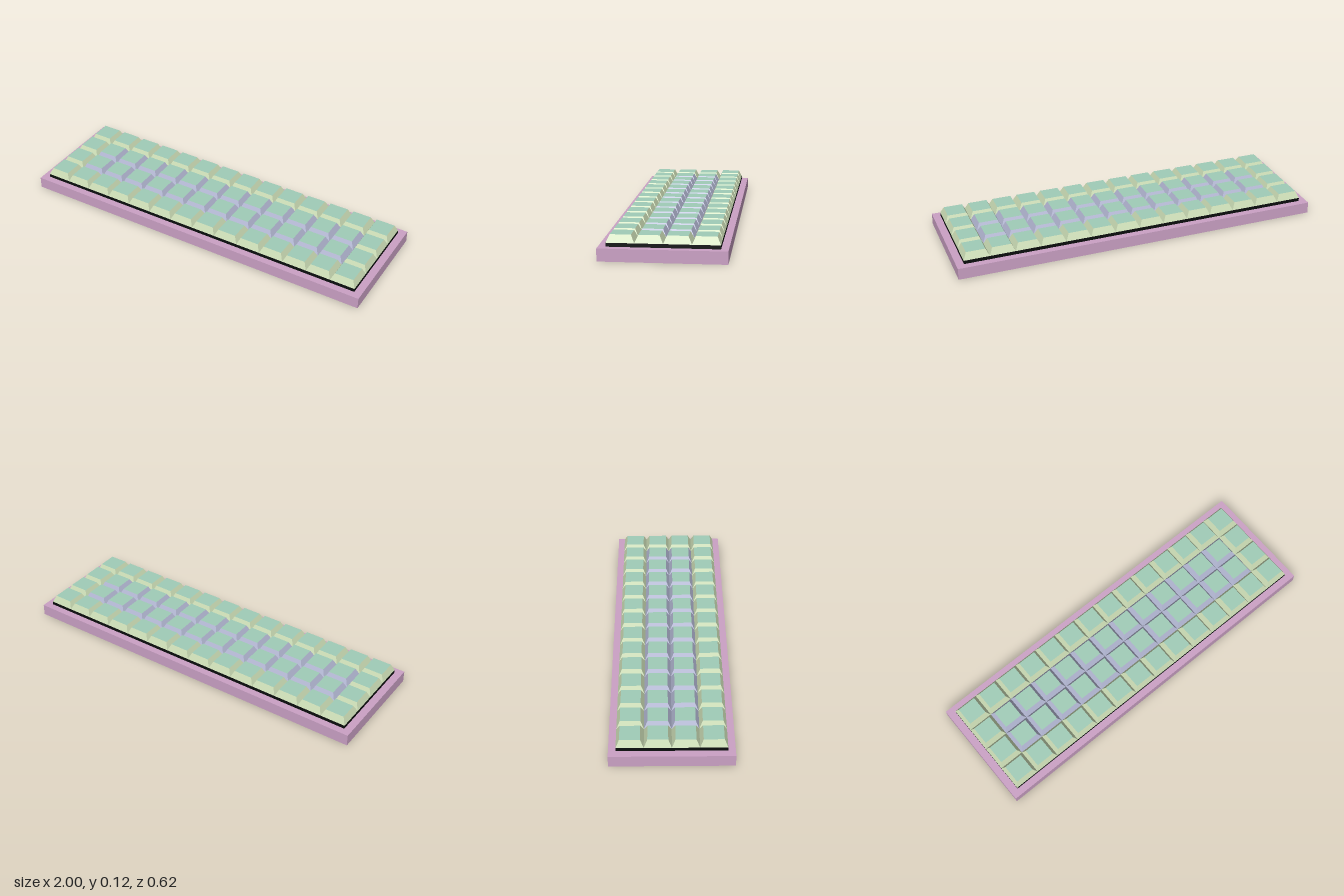
import * as THREE from 'three';

const COLS = 14, ROWS = 4, PITCH = 0.1371, PITCH_Z = 0.1365;
const BASE_H = 0.063, PLATE_TOP = 0.082, KEY_TOP = 0.12, INSET = 0.0175;

function material(name, color) {
  const m = new THREE.MeshStandardMaterial({ color });
  m.name = name;
  return m;
}

// Box whose top is narrowed on all four sides
function keycapGeometry() {
  const h = KEY_TOP - PLATE_TOP;
  const geo = new THREE.BoxGeometry(PITCH, h, PITCH_Z);
  geo.translate(0, h / 2, 0);
  const p = geo.attributes.position;
  for (let i = 0; i < p.count; i++) {
    if (p.getY(i) < h / 2) continue;
    p.setX(i, p.getX(i) - Math.sign(p.getX(i)) * INSET);
    p.setZ(i, p.getZ(i) - Math.sign(p.getZ(i)) * INSET);
  }
  geo.computeVertexNormals();
  return geo;
}

export function createModel() {
  const group = new THREE.Group();
  group.name = 'keyboard';

  const pink = material('case pink', 0xcba1c5);
  const black = material('plate black', 0x0a0d0d);
  const teal = material('key top teal', 0xa0ccb7);
  const green = material('outer key green', 0xcbdcb5);
  const lavender = material('inner key lavender', 0xb4b8d4);

  const addBox = (name, w, h, d, y, mat) => {
    const mesh = new THREE.Mesh(new THREE.BoxGeometry(w, h, d), mat);
    mesh.name = name;
    mesh.position.y = y + h / 2;
    group.add(mesh);
  };

  // Case and switch plate
  addBox('case', 2, BASE_H, 0.62, 0, pink);
  addBox('switchPlate', COLS * PITCH, PLATE_TOP - BASE_H, ROWS * PITCH_Z, BASE_H, black);

  // Keycaps: teal tops, with green sides on the border keys and lavender inside
  const keys = new THREE.Group();
  keys.name = 'keycaps';
  const geo = keycapGeometry();
  const sides = (m) => [m, m, teal, m, m, m];
  const outer = sides(green), inner = sides(lavender);
  for (let r = 0; r < ROWS; r++) {
    for (let c = 0; c < COLS; c++) {
      const border = r === 0 || r === ROWS - 1 || c === 0 || c === COLS - 1;
      const key = new THREE.Mesh(geo, border ? outer : inner);
      key.name = border ? 'outerKeycap' : 'innerKeycap';
      key.position.set((c - (COLS - 1) / 2) * PITCH, PLATE_TOP, (r - (ROWS - 1) / 2) * PITCH_Z);
      keys.add(key);
    }
  }
  group.add(keys);
  return group;
}
